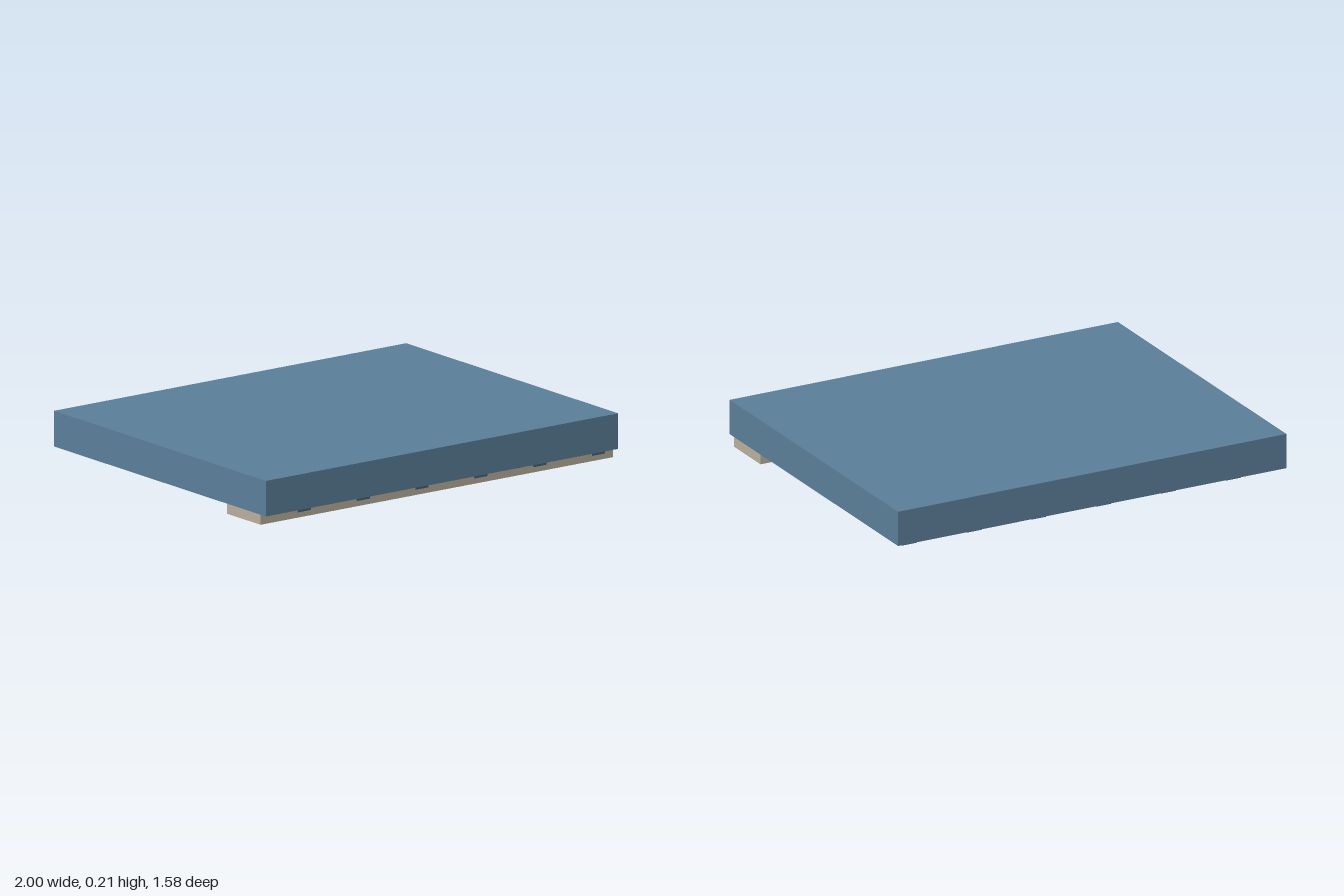
import * as THREE from 'three';

export function createModel() {
  const group = new THREE.Group();
  const material = (name, color) => {
    const m = new THREE.MeshStandardMaterial({ color });
    m.name = name;
    return m;
  };
  const slabBlue = material('slab blue', 0x5a7e98);
  const ribBlue = material('dark rib blue', 0x445f76);
  const beige = material('beige', 0xb8ae9c);

  // Box given by its minimum and maximum corners
  const box = (name, mat, [x0, y0, z0], [x1, y1, z1]) => {
    const mesh = new THREE.Mesh(new THREE.BoxGeometry(x1 - x0, y1 - y0, z1 - z0), mat);
    mesh.position.set((x0 + x1) / 2, (y0 + y1) / 2, (z0 + z1) / 2);
    mesh.name = name;
    group.add(mesh);
  };

  // Main slab
  box('slab', slabBlue, [-1, 0.047, -0.79], [1, 0.213, 0.79]);

  // Bearing strip under the front edge
  box('supportStrip', beige, [-1, 0, 0.5], [1, 0.047, 0.75]);

  // Six evenly spaced ribs on the underside, let into the strip
  for (let i = 0; i < 6; i++) {
    const x = -0.752 + i * 0.334;
    box(`rib${i + 1}`, ribBlue, [x - 0.037, 0.025, -0.745], [x + 0.037, 0.047, 0.752]);
  }
  return group;
}
